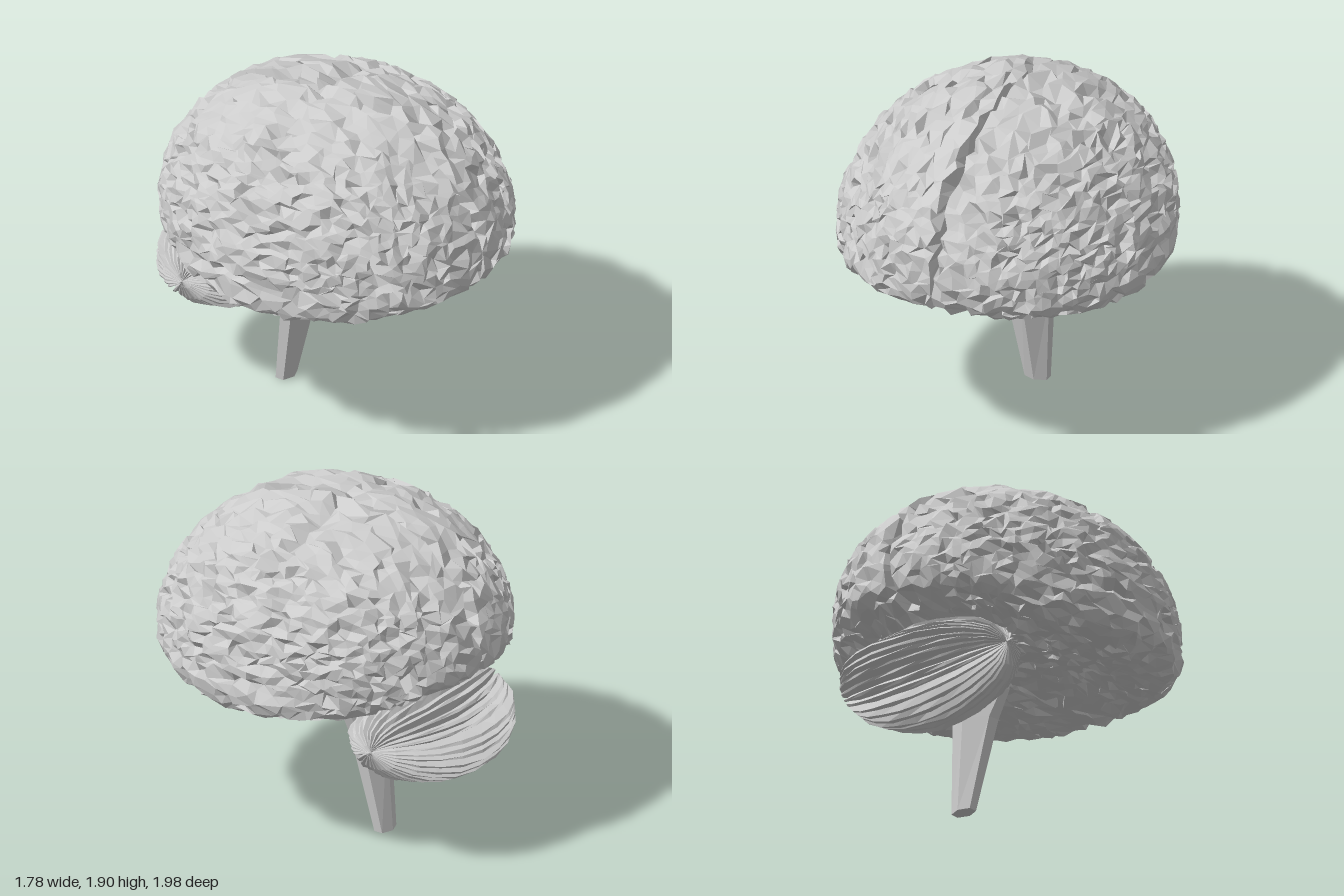
import * as THREE from 'three';
import { mergeVertices } from 'three/addons/utils/BufferGeometryUtils.js';

// Small seeded random generator
function seeded(seed) {
  let s = seed >>> 0;
  return () => {
    s = (s + 0x6d2b79f5) >>> 0;
    let t = Math.imul(s ^ (s >>> 15), 1 | s);
    t = (t + Math.imul(t ^ (t >>> 7), 61 | t)) ^ t;
    return ((t ^ (t >>> 14)) >>> 0) / 4294967296;
  };
}

const grey = new THREE.MeshStandardMaterial({ color: 0xcccccc, flatShading: true });

function makeMesh(geometry, name) {
  geometry.computeVertexNormals();
  const mesh = new THREE.Mesh(geometry, grey);
  mesh.name = name;
  return mesh;
}

// Smooth envelope of one half of the cerebrum: domed above, nearly flat underneath
function insideHemisphere(x, y, z) {
  if (x < 0.006) return false;
  const u = (z - 0.033) / 0.965;
  const middle = 1.14 - 0.04 * u;
  const flat = (x / 0.885) ** 2 + Math.abs(u) ** (u > 0 ? 2.2 : 2);
  if (y > middle) return flat + ((y - middle) / 0.755) ** 2 < 1;
  const base = 0.865 + 0.1 * u * u + 0.11 * Math.max(0, -u) ** 2;
  return flat ** 4.5 + ((middle - y) / (middle - base)) ** 4 < 1;
}

// One hemisphere: rays from its middle meet the envelope, then the surface is crumpled
function hemisphere(side, seed) {
  const random = seeded(seed);
  const raw = new THREE.IcosahedronGeometry(1, 14);
  raw.deleteAttribute('uv');
  raw.deleteAttribute('normal');
  const geometry = mergeVertices(raw, 1e-4);
  const pos = geometry.attributes.position;
  const centre = new THREE.Vector3(0.38, 1.22, 0.033);
  const jitter = (size) => (random() - 0.5) * size;
  const dir = new THREE.Vector3();
  for (let i = 0; i < pos.count; i++) {
    dir.fromBufferAttribute(pos, i);
    dir.set(dir.x * side + jitter(0.08), dir.y + jitter(0.08), dir.z + jitter(0.08));
    dir.multiply(new THREE.Vector3(0.5, 0.5, 0.85)).normalize();
    let near = 0, far = 1.6;
    for (let k = 0; k < 24; k++) {
      const mid = (near + far) / 2;
      const p = dir.clone().multiplyScalar(mid).add(centre);
      if (insideHemisphere(p.x, p.y, p.z)) near = mid;
      else far = mid;
    }
    const p = dir.clone().multiplyScalar(near).add(centre);
    const medial = p.x < 0.02;
    // Winding folds plus scattered pits
    const fold = Math.sin(11 * p.y + 3 * Math.sin(5 * p.z + side)) + Math.sin(12 * p.z + 3 * Math.sin(6 * p.x + 4 * p.y));
    let depth = 0.02 * Math.max(0, 1 - Math.abs(fold) * 2.5) + 0.06 * random() ** 4 - 0.008;
    // Central groove over the crown
    const groove = Math.abs(p.z + 0.04 - (1.9 - p.y) * 0.2);
    if (p.y > 1.65) depth += 0.07 * Math.max(0, 1 - groove / 0.05);
    // Side fissure above the temporal lobe
    if (p.x > 0.5 && Math.abs(p.z) < 0.5) depth += 0.03 * Math.max(0, 1 - Math.abs(p.y - 1.1) / 0.04);
    p.addScaledVector(dir, medial ? -0.2 * depth : -depth);
    p.y += jitter(0.02);
    p.z += jitter(0.02);
    pos.setXYZ(i, side * Math.max(p.x, 0.004) - 0.004, Math.max(p.y, 0.87), Math.min(p.z, 1));
  }
  return makeMesh(geometry, side > 0 ? 'leftHemisphere' : 'rightHemisphere');
}

// Cerebellum: ridges running from one side pole to the other
function cerebellum() {
  const random = seeded(77);
  const ridges = 32, around = ridges * 3, rings = 11;
  const shifts = Array.from({ length: ridges }, () => [0.93 + random() * 0.1, (random() - 0.5) * 0.06]);
  const points = [], index = [];
  for (let r = 0; r <= rings; r++) {
    const t = 0.1 + (r / rings) * (Math.PI - 0.2);
    const bulge = Math.sin(t) ** 0.8, bend = Math.cos(t) ** 2;
    for (let a = 0; a < around; a++) {
      const [height, turn] = shifts[Math.floor(a / 3)];
      const valley = a % 3 === 2;
      const size = bulge * ((valley ? 0.77 : height) + (random() - 0.5) * 0.05);
      const angle = (a / around) * Math.PI * 2 + turn + (random() - 0.5) * 0.03;
      // The back comes to a blunt point in the middle
      const back = Math.cos(angle) < 0 ? Math.sin(t) ** 0.15 : 1;
      points.push(
        -0.01 + 0.54 * Math.cos(t) * (valley ? 0.96 : 1),
        0.675 + 0.06 * bend + 0.25 * size * Math.sin(angle),
        -0.62 + 0.04 * bend + 0.37 * size * back * Math.cos(angle)
      );
    }
  }
  for (let r = 0; r < rings; r++) {
    for (let a = 0; a < around; a++) {
      const b = (a + 1) % around;
      const i = r * around + a, j = r * around + b;
      index.push(i, j, i + around, j, j + around, i + around);
    }
  }
  // Close both poles
  const poles = points.length / 3;
  points.push(0.53, 0.735, -0.58, -0.55, 0.735, -0.58);
  for (let a = 0; a < around; a++) {
    const b = (a + 1) % around, last = rings * around;
    index.push(poles, b, a, poles + 1, last + a, last + b);
  }
  const geometry = new THREE.BufferGeometry();
  geometry.setAttribute('position', new THREE.Float32BufferAttribute(points, 3));
  geometry.setIndex(index);
  return makeMesh(geometry, 'cerebellum');
}

// Brain stem: six-sided sections that widen at the pons and taper to the foot
function brainStem() {
  // Height, half width, front z, back z, depth of the side faces
  const sections = [
    [0.92, 0.165, -0.05, -0.2, 0.6],
    [0.72, 0.185, -0.05, -0.28, 0.5],
    [0.55, 0.13, -0.095, -0.305, 0.7],
    [0, 0.065, -0.245, -0.345, 1],
  ];
  const geometry = new THREE.CylinderGeometry(1, 1, 1, 6, sections.length - 1);
  const pos = geometry.attributes.position;
  for (let i = 0; i < pos.count; i++) {
    const [y, half, front, back, sides] = sections[Math.round((0.5 - pos.getY(i)) * (sections.length - 1))];
    const x = pos.getX(i) / 0.866;
    const z = pos.getZ(i) * (Math.abs(x) > 0.5 ? sides : 1);
    pos.setXYZ(i, x * half + 0.005, y, (front + back) / 2 + z * (front - back) / 2);
  }
  return makeMesh(geometry, 'brainStem');
}

export function createModel() {
  const model = new THREE.Group();
  model.name = 'brain';
  const cerebrum = new THREE.Group();
  cerebrum.name = 'cerebrum';
  cerebrum.add(hemisphere(1, 11), hemisphere(-1, 29));
  model.add(cerebrum, cerebellum(), brainStem());
  return model;
}
